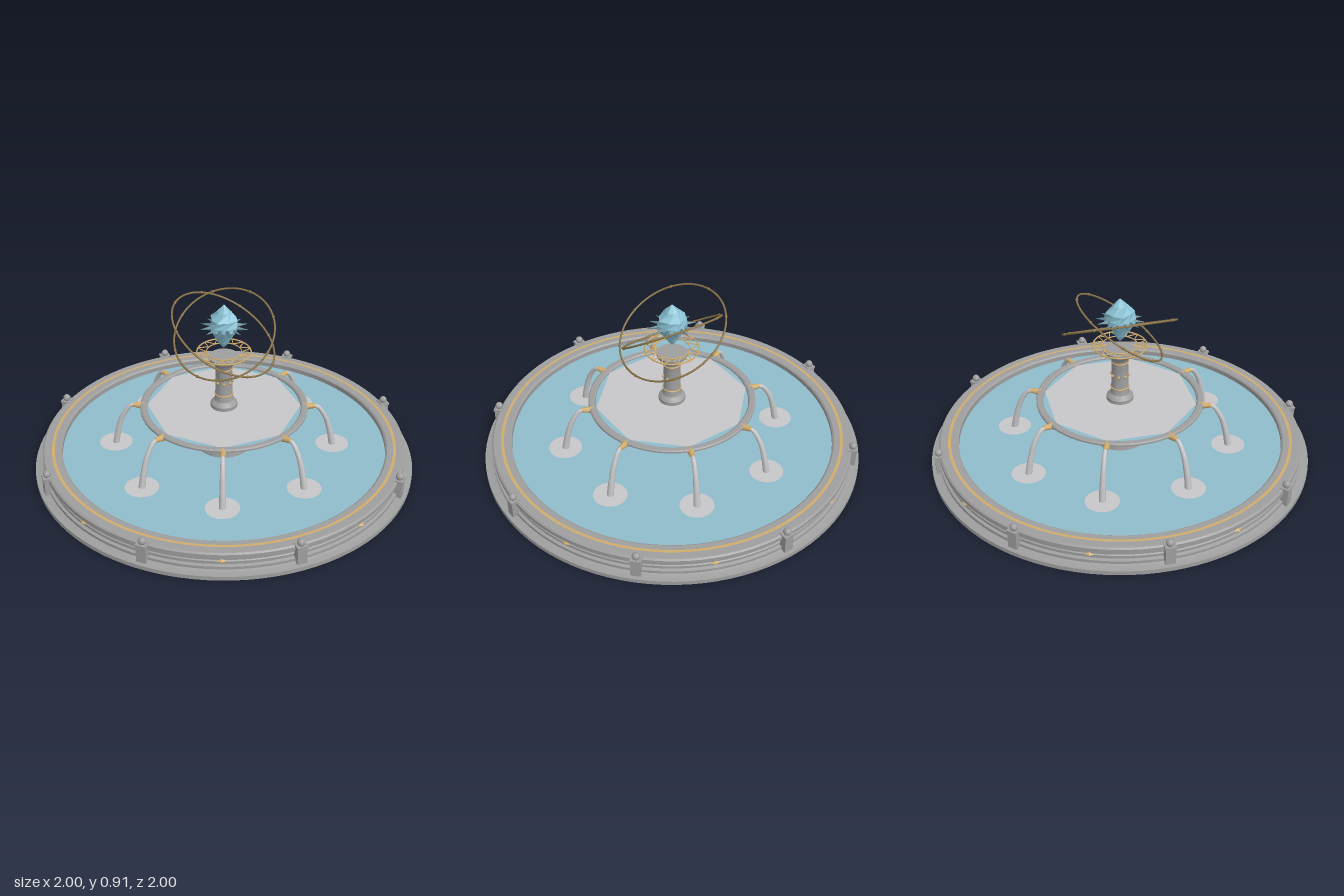
import * as THREE from 'three';
import { toCreasedNormals } from 'three/addons/utils/BufferGeometryUtils.js';

const mat = (name, color, extra = {}) => {
  const m = new THREE.MeshStandardMaterial({ color, ...extra });
  m.name = name;
  return m;
};

export function createModel() {
  const stone = mat('stone', 0x9e9e9e, { side: THREE.DoubleSide });
  const water = mat('water', 0x8fbccb, { side: THREE.DoubleSide });
  const foam = mat('foam', 0xc6c6c8);
  const gold = mat('gold', 0xd0ac6c);
  const bronze = mat('bronze', 0x8a7448);
  const crystalBlue = mat('crystalBlue', 0x8cc4d6, { flatShading: true });
  const spikeBlue = mat('spikeBlue', 0x587f8e, { flatShading: true });

  const model = new THREE.Group();
  model.name = 'fountain';
  const add = (name, geo, material, x = 0, y = 0, z = 0, parent = model) => {
    const m = new THREE.Mesh(geo, material);
    m.name = name;
    m.position.set(x, y, z);
    parent.add(m);
    return m;
  };
  const lathe = (name, pts, seg, material) => add(name, toCreasedNormals(
    new THREE.LatheGeometry(pts.map(p => new THREE.Vector2(...p)), seg), 0.6), material);
  const flat = g => g.rotateX(-Math.PI / 2);
  // A group turned about y, in which +x points outward
  const spoke = (name, angle) => {
    const g = new THREE.Group();
    g.name = name;
    g.rotation.y = angle;
    model.add(g);
    return g;
  };

  // Lower basin
  lathe('basinWall', [[1, 0], [1, 0.022], [0.968, 0.025], [0.957, 0.03], [0.957, 0.045], [0.943, 0.05],
    [0.943, 0.066], [0.948, 0.07], [0.943, 0.074], [0.943, 0.086], [0.956, 0.092], [0.956, 0.113],
    [0.948, 0.12], [0.862, 0.12], [0.853, 0.113], [0.853, 0.035]], 96, stone);
  add('basinFloor', flat(new THREE.RingGeometry(0.185, 0.855, 96)), stone, 0, 0.035, 0);
  add('basinWater', flat(new THREE.RingGeometry(0.12, 0.854, 96)), water, 0, 0.088, 0);
  add('rimInlay', flat(new THREE.RingGeometry(0.893, 0.908, 96)), gold, 0, 0.122, 0);

  // Pedestal and upper bowl
  lathe('pedestal', [[0.187, 0.035], [0.18, 0.055], [0.145, 0.07], [0.14, 0.1], [0.135, 0.125], [0.125, 0.13],
    [0.125, 0.145], [0.108, 0.155], [0.104, 0.19], [0.12, 0.2], [0.12, 0.215], [0.105, 0.222],
    [0.11, 0.235], [0.13, 0.243]], 48, stone);
  lathe('upperBowl', [[0.1, 0.24], [0.14, 0.245], [0.2, 0.265], [0.29, 0.29], [0.38, 0.308], [0.425, 0.315],
    [0.437, 0.322], [0.437, 0.331], [0.43, 0.336], [0.407, 0.336], [0.4, 0.33], [0.398, 0.315]], 72, stone);
  add('bowlWater', flat(new THREE.CircleGeometry(0.4, 72)), water, 0, 0.322, 0);
  add('bowlFoam', flat(new THREE.CircleGeometry(0.4, 8)), foam, 0, 0.326, 0);

  // Column
  lathe('column', [[0.07, 0.325], [0.07, 0.345], [0.062, 0.355], [0.05, 0.365], [0.046, 0.38], [0.042, 0.55],
    [0.048, 0.572], [0.062, 0.59], [0.078, 0.602], [0.08, 0.618], [0.001, 0.618]], 40, stone);
  for (const [y, r] of [[0.4, 0.046], [0.55, 0.043]])
    add('columnBand', new THREE.TorusGeometry(r, 0.004, 8, 40).rotateX(Math.PI / 2), gold, 0, y, 0);

  // Water jet path, thickening as it falls
  const jetCurve = new THREE.CatmullRomCurve3([[0.45, 0.322], [0.485, 0.322], [0.53, 0.262], [0.558, 0.175], [0.575, 0.088]]
    .map(([x, y]) => new THREE.Vector3(x, y, 0)));
  const jetGeo = new THREE.TubeGeometry(jetCurve, 24, 1, 10);
  const pos = jetGeo.attributes.position, v = new THREE.Vector3();
  for (let i = 0; i < pos.count; i++) {
    const t = Math.floor(i / 11) / 24, c = jetCurve.getPointAt(t);
    v.fromBufferAttribute(pos, i).sub(c).multiplyScalar(0.01 + 0.008 * t).add(c);
    pos.setXYZ(i, v.x, v.y, v.z);
  }
  const bracketCurve = new THREE.CatmullRomCurve3([[0.1, 0.165], [0.118, 0.19], [0.14, 0.235], [0.18, 0.265], [0.23, 0.275]]
    .map(([x, y]) => new THREE.Vector3(x, y, 0)));
  const bracketGeo = new THREE.TubeGeometry(bracketCurve, 16, 0.014, 10);

  // Everything repeated eight times round the fountain
  for (let i = 0; i < 8; i++) {
    const a = i * Math.PI / 4;
    const arm = spoke('jetArm', a);
    add('jet', jetGeo, foam, 0, 0, 0, arm);
    add('splash', flat(new THREE.CircleGeometry(0.087, 32)), foam, 0.575, 0.091, 0, arm);
    add('spout', new THREE.CylinderGeometry(0.012, 0.019, 0.06, 12), gold, 0.447, 0.322, 0, arm).rotation.z = -1.45;
    add('bracket', bracketGeo, stone, 0, 0, 0, arm);
    add('columnStud', new THREE.SphereGeometry(0.008, 10, 8), gold, 0.045, 0.475, 0, arm);
    add('medallion', new THREE.OctahedronGeometry(1), gold, 0.945, 0.069, 0, arm).scale.set(0.012, 0.013, 0.026);

    const post = spoke('rimPost', a + Math.PI / 8);
    add('postShaft', new THREE.BoxGeometry(0.042, 0.095, 0.05), stone, 0.96, 0.07, 0, post);
    add('postCap', new THREE.BoxGeometry(0.05, 0.012, 0.056), stone, 0.96, 0.118, 0, post);
    add('postBall', new THREE.SphereGeometry(0.02, 16, 12), stone, 0.96, 0.137, 0, post);
  }

  // Flat dial above the column
  add('dialRing', new THREE.TorusGeometry(0.138, 0.004, 6, 48).rotateX(Math.PI / 2), gold, 0, 0.645, 0);
  add('dialInnerRing', new THREE.TorusGeometry(0.09, 0.003, 6, 48).rotateX(Math.PI / 2), gold, 0, 0.645, 0);
  for (let i = 0; i < 12; i++) {
    const dial = spoke('dialRays', i * Math.PI / 6);
    for (const s of [-1, 1]) {
      const bar = add('dialRay', new THREE.BoxGeometry(0.05, 0.004, 0.004), gold, 0.113, 0.645, s * 0.014, dial);
      bar.rotation.y = s * 0.4;
    }
    // Crystal collar spikes
    add('collarSpike', new THREE.ConeGeometry(0.013, 0.06, 4).rotateZ(-Math.PI / 2), spikeBlue, 0.095, 0.787, 0, dial);
  }

  // Twisted crystal, built from eight-sided sections: height, radius, twist
  const sections = [[0.668, 0.002, -0.5], [0.7, 0.028, -0.35], [0.78, 0.078, 0], [0.8, 0.076, 0.1],
    [0.835, 0.072, 0.35], [0.872, 0.037, 0.75], [0.91, 0.001, 1.1]];
  const verts = [], faces = [];
  sections.forEach(([y, r, tw], k) => {
    for (let j = 0; j < 8; j++) {
      const a = j * Math.PI / 4 + tw, rr = r * (j % 2 ? 0.9 : 1.05);
      verts.push(Math.cos(a) * rr, y, -Math.sin(a) * rr);
      if (k) {
        const n = (j + 1) % 8, b = (k - 1) * 8, t = k * 8;
        faces.push(b + j, b + n, t + n, b + j, t + n, t + j);
      }
    }
  });
  const crystalGeo = new THREE.BufferGeometry();
  crystalGeo.setAttribute('position', new THREE.Float32BufferAttribute(verts, 3));
  crystalGeo.setIndex(faces);
  crystalGeo.computeVertexNormals();
  add('crystal', crystalGeo, crystalBlue);

  // Tilted orbit rings with small beads
  for (const [R, n] of [[0.29, [0.45, 0.87, -0.2]], [0.262, [0.2, 0.81, 0.55]]]) {
    const orbit = add('orbitRing', new THREE.TorusGeometry(R, 0.005, 8, 72), bronze, 0, 0.748, 0);
    orbit.quaternion.setFromUnitVectors(new THREE.Vector3(0, 0, 1), new THREE.Vector3(...n).normalize());
    for (let i = 0; i < 8; i++) {
      const a = i * Math.PI / 4;
      add('orbitBead', new THREE.SphereGeometry(0.008, 8, 6), bronze, Math.cos(a) * R, Math.sin(a) * R, 0, orbit);
    }
  }
  return model;
}
